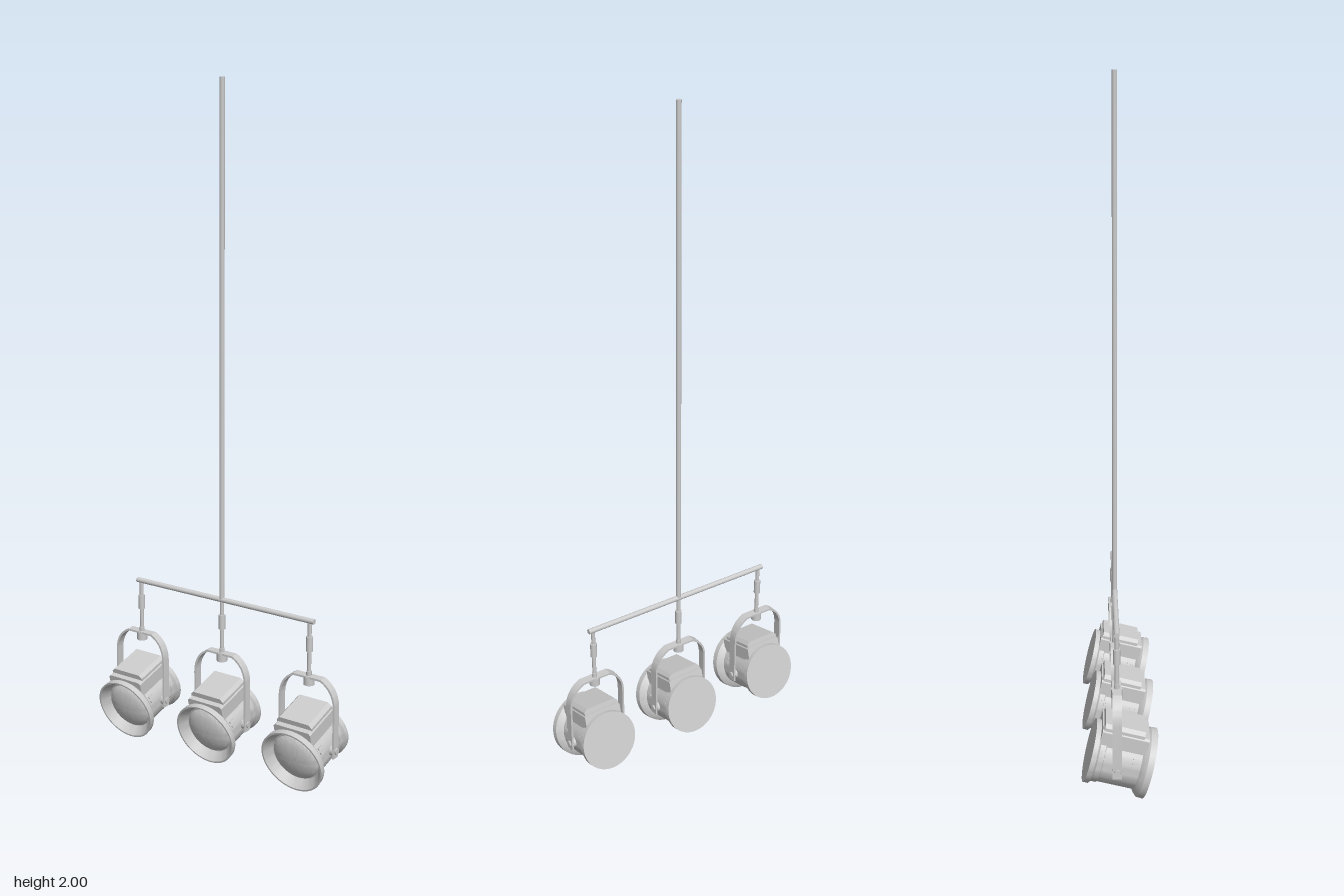
import * as THREE from 'three';
import { toCreasedNormals } from 'three/addons/utils/BufferGeometryUtils.js';

const material = new THREE.MeshStandardMaterial({ color: 0xcccccc, side: THREE.DoubleSide });
const AXIS_Z = -0.01, PIVOT_Y = 0.121, TILT = 0.253, SPACING = 0.305;

function add(parent, name, geometry, x = 0, y = 0, z = 0) {
  const mesh = new THREE.Mesh(geometry, material);
  mesh.name = name;
  mesh.position.set(x, y, z);
  parent.add(mesh);
  return mesh;
}

// upright rod between two heights
function rod(parent, name, r, y0, y1, x = 0, z = 0, sides = 20) {
  return add(parent, name, new THREE.CylinderGeometry(r, r, y1 - y0, sides), x, (y0 + y1) / 2, z);
}

// surface of revolution about z from [radius, z] pairs
function turned(points) {
  const g = new THREE.LatheGeometry(points.map(p => new THREE.Vector2(p[0], p[1])), 56);
  g.rotateX(Math.PI / 2);
  return toCreasedNormals(g, 0.5);
}

// flat profile extruded symmetrically in z
function slab(shape, depth) {
  const g = new THREE.ExtrudeGeometry(shape, { depth, bevelEnabled: false, curveSegments: 12 });
  g.translate(0, 0, -depth / 2);
  return toCreasedNormals(g, 0.5);
}

// inverted U strap, drawn as outer edge then inner edge
function yokeShape() {
  const t = 0.006, w = 0.094, top = 0.332, foot = 0.1;
  const s = new THREE.Shape();
  s.moveTo(-w, foot);
  s.lineTo(-w, 0.25);
  s.quadraticCurveTo(-w, 0.308, -0.046, top);
  s.lineTo(0.046, top);
  s.quadraticCurveTo(w, 0.308, w, 0.25);
  s.lineTo(w, foot);
  s.lineTo(w - t, foot);
  s.lineTo(w - t, 0.25);
  s.quadraticCurveTo(w - t, 0.304, 0.044, top - t);
  s.lineTo(-0.044, top - t);
  s.quadraticCurveTo(-w + t, 0.304, -w + t, 0.25);
  s.lineTo(-w + t, foot);
  s.closePath();
  return s;
}

// cross-section of the box on top of the lamp, with chamfered corners
function boxShape(w, top, chamfer) {
  const s = new THREE.Shape();
  s.moveTo(-w, 0.04);
  s.lineTo(w, 0.04);
  s.lineTo(w, top - chamfer);
  s.lineTo(w - chamfer, top);
  s.lineTo(-w + chamfer, top);
  s.lineTo(-w, top - chamfer);
  s.closePath();
  return s;
}

function createHead() {
  const head = new THREE.Group();
  head.name = 'lampHead';

  // housing with rear cap, flared front rim and recessed opening
  add(head, 'housing', turned([
    [0, -0.08], [0.09, -0.08], [0.09, -0.066], [0.083, -0.06], [0.083, -0.045],
    [0.08, -0.043], [0.08, 0.062], [0.088, 0.066], [0.099, 0.077], [0.1, 0.095],
    [0.095, 0.095], [0.077, 0.068], [0.073, 0.066],
  ]));

  // shallow domed lens
  const lens = [];
  for (let i = 0; i <= 10; i++) {
    const a = (1 - i / 10) * Math.PI / 2;
    lens.push([0.075 * Math.sin(a), 0.064 + 0.026 * Math.cos(a)]);
  }
  add(head, 'lens', turned(lens));

  // ballast box and its front ledge
  add(head, 'topBox', slab(boxShape(0.058, 0.116, 0.01), 0.115), 0, 0, -0.004);
  add(head, 'topBoxLedge', slab(boxShape(0.061, 0.1, 0.006), 0.135), 0, 0, 0.002);

  for (const side of [-1, 1]) {
    // raised side vents
    for (const z of [-0.045, 0.045]) {
      for (const y of [0.025, 0.038]) {
        const x = Math.sqrt(0.081 ** 2 - y * y);
        const vent = add(head, 'sideVent', new THREE.BoxGeometry(0.006, 0.006, 0.018), side * x, y, z);
        vent.rotation.z = side * Math.asin(y / 0.081);
      }
    }
    // pivot boss and bolt
    const boss = add(head, 'pivotBoss', new THREE.CylinderGeometry(0.015, 0.015, 0.014, 24), side * 0.083, 0, 0);
    const bolt = add(head, 'pivotBolt', new THREE.CylinderGeometry(0.01, 0.01, 0.006, 6), side * 0.096, 0, 0);
    boss.rotation.z = bolt.rotation.z = Math.PI / 2;
  }
  head.position.y = PIVOT_Y;
  head.rotation.x = TILT;
  return head;
}

function createLamp(x) {
  const lamp = new THREE.Group();
  lamp.name = 'spotlight';
  lamp.position.set(x, 0, AXIS_Z);
  lamp.add(createHead());
  add(lamp, 'yoke', slab(yokeShape(), 0.026));

  // hanging stem with sleeve and knuckle
  rod(lamp, 'stem', 0.006, 0.32, 0.497);
  rod(lamp, 'stemSleeve', 0.01, 0.405, 0.45);
  rod(lamp, 'stemCollar', 0.008, 0.332, 0.345);
  rod(lamp, 'yokeKnob', 0.016, 0.304, 0.33);
  return lamp;
}

export function createModel() {
  const model = new THREE.Group();
  model.name = 'hangingSpotlights';

  // ceiling pole and cross bar
  rod(model, 'pole', 0.0075, 0.497, 2, 0, AXIS_Z);
  const bar = rod(model, 'crossBar', 0.0078, 0, 0.64, 0, AXIS_Z);
  bar.position.y = 0.497;
  bar.rotation.z = Math.PI / 2;

  for (const i of [-1, 0, 1]) model.add(createLamp(i * SPACING));
  return model;
}
